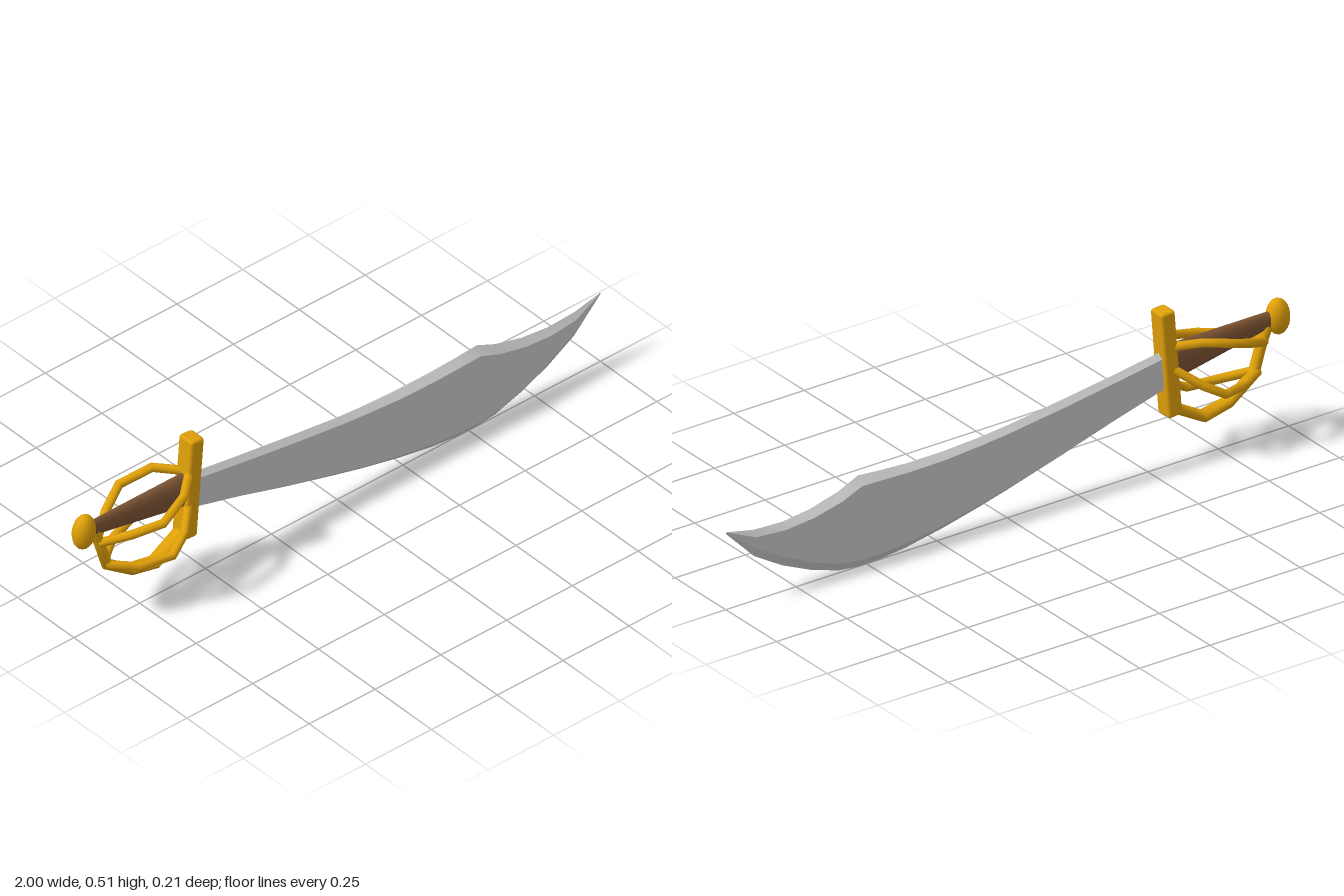
import * as THREE from 'three';
import { toCreasedNormals } from 'three/addons/utils/BufferGeometryUtils.js';
import { RoundedBoxGeometry } from 'three/addons/geometries/RoundedBoxGeometry.js';

const steel = new THREE.MeshStandardMaterial({ color: 0xcccccc });
const gold = new THREE.MeshStandardMaterial({ color: 0xe0a008 });
const brown = new THREE.MeshStandardMaterial({ color: 0x7d5433 });

function part(name, geometry, material) {
  const mesh = new THREE.Mesh(geometry, material);
  mesh.name = name;
  return mesh;
}

// Move every vertex by a rule, then refresh normals
function reshape(geometry, rule) {
  const pos = geometry.attributes.position;
  const v = new THREE.Vector3();
  for (let i = 0; i < pos.count; i++) {
    rule(v.fromBufferAttribute(pos, i));
    pos.setXYZ(i, v.x, v.y, v.z);
  }
  geometry.computeVertexNormals();
  return geometry;
}

// Faceted bar with one ring at each given point
function bar(points, radius) {
  const curve = new THREE.CatmullRomCurve3(points.map((p) => new THREE.Vector3(...p)));
  curve.getPointAt = curve.getPoint;
  curve.getTangentAt = curve.getTangent;
  return new THREE.TubeGeometry(curve, points.length - 1, radius, 8);
}

// Blade lofted from six-sided sections: x, spine, upper shoulder, lower shoulder, edge, half thickness
function bladeGeometry() {
  const stations = [
    [-0.57, 0.382, 0.365, 0.268, 0.257, 0.015],
    [-0.38, 0.353, 0.336, 0.217, 0.205, 0.016],
    [-0.2, 0.328, 0.31, 0.165, 0.15, 0.017],
    [0, 0.302, 0.285, 0.112, 0.094, 0.018],
    [0.1, 0.293, 0.276, 0.088, 0.068, 0.019],
    [0.23, 0.286, 0.268, 0.062, 0.038, 0.021],
    [0.36, 0.286, 0.267, 0.042, 0.014, 0.022],
    [0.46, 0.292, 0.27, 0.034, 0.003, 0.022],
    [0.53, 0.298, 0.272, 0.034, 0.003, 0.022],
    [0.6, 0.267, 0.243, 0.042, 0.011, 0.022],
    [0.7, 0.24, 0.219, 0.074, 0.043, 0.021],
    [0.8, 0.228, 0.208, 0.121, 0.087, 0.018],
    [0.9, 0.232, 0.212, 0.176, 0.147, 0.012],
    [1, 0.253, 0.252, 0.249, 0.248, 0],
  ];
  const vertices = [];
  const index = [];
  stations.forEach(([x, top, upper, lower, edge, w], s) => {
    vertices.push(x, top, 0, x, upper, w, x, lower, w, x, edge, 0, x, lower, -w, x, upper, -w);
    if (s === 0) return;
    for (let i = 0; i < 6; i++) {
      const j = (i + 1) % 6;
      const a = (s - 1) * 6;
      const b = s * 6;
      index.push(a + i, a + j, b + j, a + i, b + j, b + i);
    }
  });
  const geometry = new THREE.BufferGeometry();
  geometry.setAttribute('position', new THREE.Float32BufferAttribute(vertices, 3));
  geometry.setIndex(index);
  return toCreasedNormals(geometry, 0.4);
}

export function createModel() {
  const model = new THREE.Group();
  model.name = 'cutlass';
  model.add(part('blade', bladeGeometry(), steel));

  // Oval grip, flaring toward the guard
  const grip = new THREE.CylinderGeometry(1, 1, 1, 14, 1).rotateZ(Math.PI / 2);
  reshape(grip, (v) => {
    const t = v.x + 0.5;
    v.x = -0.95 + 0.375 * t;
    v.y = 0.37 - 0.037 * t + v.y * (0.025 + 0.036 * t);
    v.z *= 0.013 + 0.012 * t;
  });
  model.add(part('grip', grip, brown));

  // Flattened pommel
  const pommel = part('pommel', new THREE.SphereGeometry(1, 18, 12), gold);
  pommel.scale.set(0.038, 0.058, 0.032);
  pommel.position.set(-0.962, 0.37, 0);
  pommel.rotation.z = -0.08;
  model.add(pommel);

  // Leaning crossguard
  const crossguard = part('crossguard', new RoundedBoxGeometry(0.05, 0.345, 0.06, 1, 0.009), gold);
  crossguard.position.set(-0.566, 0.341, 0);
  crossguard.rotation.z = -0.08;
  model.add(crossguard);

  // Knuckle bow, wide at the guard and narrowing toward the pommel
  const bow = bar([
    [-0.578, 0.22, 0], [-0.59, 0.185, 0], [-0.695, 0.126, 0], [-0.785, 0.145, 0],
    [-0.875, 0.208, 0], [-0.905, 0.305, 0], [-0.925, 0.35, 0],
  ], 0.018);
  reshape(bow, (v) => {
    v.z *= THREE.MathUtils.mapLinear(v.x, -0.93, -0.57, 0.85, 1.7);
  });
  model.add(part('knuckleBow', bow, gold));

  // Four side branches of the basket
  const branches = {
    upperLeftBranch: [[-0.57, 0.395, 0.01], [-0.64, 0.377, 0.068], [-0.74, 0.344, 0.094], [-0.83, 0.328, 0.06], [-0.91, 0.305, 0.005]],
    upperRightBranch: [[-0.57, 0.39, -0.01], [-0.645, 0.405, -0.068], [-0.75, 0.382, -0.092], [-0.83, 0.345, -0.058], [-0.91, 0.305, -0.005]],
    lowerLeftBranch: [[-0.57, 0.3, 0.01], [-0.625, 0.23, 0.054], [-0.69, 0.19, 0.075], [-0.8, 0.194, 0.055], [-0.885, 0.215, 0.005]],
    lowerRightBranch: [[-0.57, 0.325, -0.01], [-0.64, 0.272, -0.08], [-0.71, 0.23, -0.093], [-0.8, 0.224, -0.065], [-0.885, 0.215, -0.005]],
  };
  for (const [name, points] of Object.entries(branches)) {
    model.add(part(name, bar(points, 0.014), gold));
  }
  return model;
}
